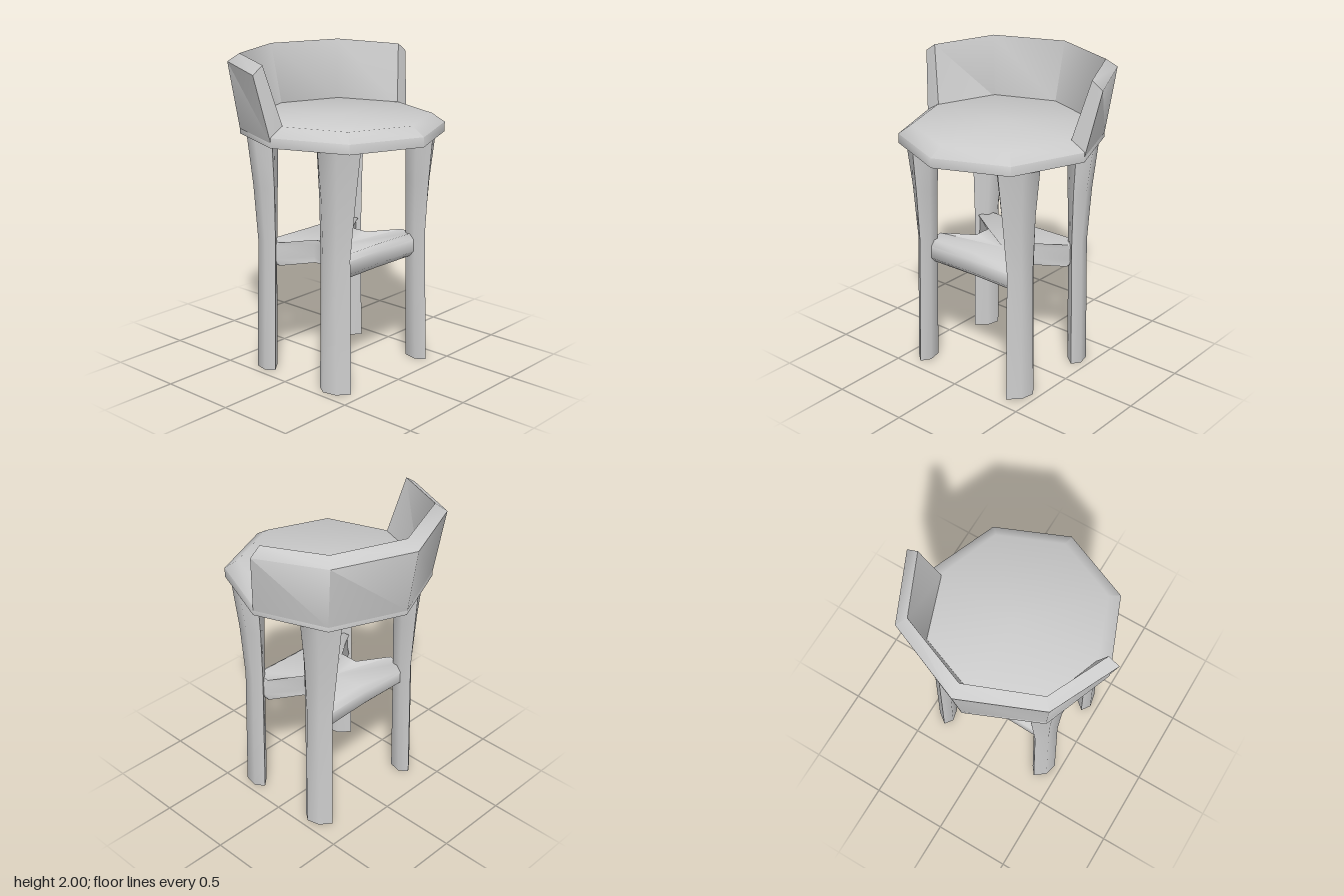
import * as THREE from 'three';
import { toCreasedNormals } from 'three/addons/utils/BufferGeometryUtils.js';

const material = new THREE.MeshStandardMaterial({ color: 0xcccccc });

// Closed skin over equal-length rings of [x, y, z]; both ends fan to a cap point.
function loft(name, rings, startCap, endCap, crease) {
  const n = rings[0].length;
  const pts = [...rings.flat(), startCap, endCap];
  const first = pts.length - 2, last = pts.length - 1;
  let tris = [];
  for (let j = 0; j < n; j++) {
    const k = (j + 1) % n;
    for (let i = 0; i < rings.length - 1; i++) {
      const a = i * n, b = a + n;
      tris.push([a + j, b + j, a + k], [a + k, b + j, b + k]);
    }
    const t = (rings.length - 1) * n;
    tris.push([first, j, k], [last, t + k, t + j]);
  }
  // turn the skin outward whichever way the rings run
  const v = pts.map((p) => new THREE.Vector3(...p));
  const volume = tris.reduce((s, [a, b, c]) => s + v[a].dot(v[b].clone().cross(v[c])), 0);
  if (volume < 0) tris = tris.map(([a, b, c]) => [a, c, b]);

  const geo = new THREE.BufferGeometry();
  geo.setAttribute('position', new THREE.Float32BufferAttribute(pts.flat(), 3));
  geo.setIndex(tris.flat());
  const mesh = new THREE.Mesh(toCreasedNormals(geo, crease), material);
  mesh.name = name;
  return mesh;
}

// Full ring from the +x half of an outline, listed front to back; x = 0 points are not doubled.
function mirrored(half, y) {
  const other = half.filter(([x]) => x > 0).reverse().map(([x, z]) => [-x, z]);
  return [...half, ...other].map(([x, z]) => [x, y, z]);
}

function makeSeat() {
  const edge = [[0, 0.665], [0.44, 0.48], [0.62, 0.03], [0.45, -0.41], [0, -0.6]];
  const top = [[0, 0.58], [0.385, 0.42], [0.53, 0.03], [0.39, -0.36], [0, -0.52]];
  return loft('seat', [mirrored(edge, 1.51), mirrored(edge, 1.57), mirrored(top, 1.625)],
    [0, 1.51, 0], [0, 1.62, 0], 1.1);
}

// Flared backrest: outer foot, outer top, crest and inner foot at five stations.
function makeBackrest() {
  const half = [
    [[0.62, 1.54, 0.03], [0.685, 1.935, -0.04], [0.61, 1.985, -0.037], [0.52, 1.61, 0.035]],
    [[0.45, 1.54, -0.41], [0.49, 1.95, -0.465], [0.44, 2, -0.41], [0.38, 1.61, -0.35]],
    [[0, 1.54, -0.603], [0, 1.95, -0.668], [0, 2, -0.585], [0, 1.61, -0.495]],
  ];
  const flip = (ring) => ring.map(([x, y, z]) => [-x, y, z]);
  const rings = [...half, flip(half[1]), flip(half[0])];
  return loft('backrest', rings, [0.605, 1.77, 0], [-0.605, 1.77, 0], 1.1);
}

// Six-sided leg flaring to the top; section is a unit hexagon fitted to each level's box.
function makeLeg(name, sx, sz, levels) {
  const hex = [[-0.38, 1], [0.7, 0.43], [1, -0.43], [0.38, -1], [-0.7, -0.43], [-1, 0.43]];
  const at = ([y, x0, x1, z0, z1], [u, w]) => [
    sx * ((x0 + x1) / 2 + (u * (x1 - x0)) / 2), y,
    sz * ((z0 + z1) / 2 + (w * (z1 - z0)) / 2)];
  const rings = levels.map((level) => hex.map((h) => at(level, h)));
  return loft(name, rings, at(levels[0], [0, 0]), at(levels[levels.length - 1], [0, 0]), 1.15);
}

// Footrest between the legs, pinched at the sides and dished in the middle.
function makeFootrest() {
  const outline = [[0, 0.34], [0.37, 0.35], [0.38, 0.23], [0.18, 0.09],
    [0.18, -0.05], [0.38, -0.19], [0.37, -0.3], [0, -0.29]];
  const inset = outline.map(([x, z]) => [x * 0.97, 0.02 + (z - 0.02) * 0.88]);
  return loft('footrest',
    [mirrored(inset, 0.69), mirrored(outline, 0.73), mirrored(outline, 0.81), mirrored(inset, 0.84)],
    [0, 0.7, 0.02], [0, 0.78, 0.02], 1.4);
}

export function createModel() {
  const group = new THREE.Group();
  group.name = 'barStool';
  group.add(makeSeat(), makeBackrest(), makeFootrest());

  // levels: y, inner x, outer x, inner z, outer z
  const front = [[0, 0.325, 0.455, 0.22, 0.43], [0.85, 0.315, 0.44, 0.215, 0.41],
    [1.2, 0.29, 0.46, 0.213, 0.44], [1.53, 0.26, 0.5, 0.21, 0.475]];
  const back = [[0, 0.325, 0.455, 0.17, 0.36], [0.85, 0.315, 0.44, 0.165, 0.35],
    [1.2, 0.29, 0.46, 0.162, 0.38], [1.53, 0.26, 0.5, 0.16, 0.41]];
  for (const [side, sx] of [['Left', 1], ['Right', -1]]) {
    group.add(makeLeg('front' + side + 'Leg', sx, 1, front));
    group.add(makeLeg('back' + side + 'Leg', sx, -1, back));
  }
  return group;
}
